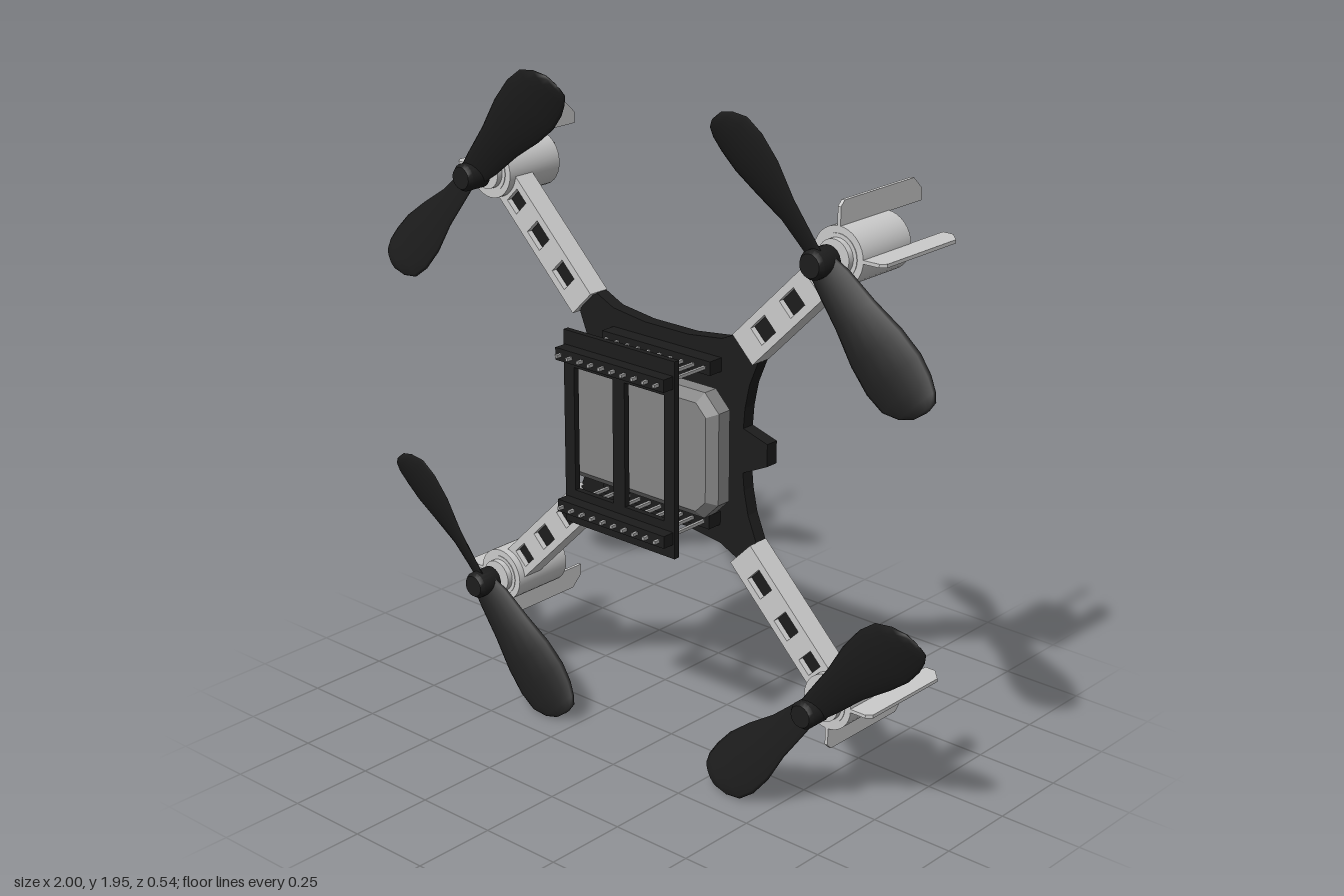
import * as THREE from 'three';
import { toCreasedNormals } from 'three/addons/utils/BufferGeometryUtils.js';

const mat = (color) => new THREE.MeshStandardMaterial({ color });
const black = mat(0x1c1c1c);
const grey = mat(0xcccccc);
const batteryGrey = mat(0x858585);
const pinGrey = mat(0xaaaaaa);

function add(parent, name, geometry, material, x = 0, y = 0, z = 0) {
  const mesh = new THREE.Mesh(geometry, material);
  mesh.name = name;
  mesh.position.set(x, y, z);
  parent.add(mesh);
  return mesh;
}

const polygon = (points) => new THREE.Shape(points.map(([x, y]) => new THREE.Vector2(x, y)));

function rectHole(shape, x0, x1, y0, y1) {
  shape.holes.push(new THREE.Path([[x0, y0], [x0, y1], [x1, y1], [x1, y0]].map((p) => new THREE.Vector2(...p))));
}

// Flat plate between two heights on z
function plate(shape, z0, z1) {
  const g = new THREE.ExtrudeGeometry(shape, { depth: z1 - z0, bevelEnabled: false });
  return g.translate(0, 0, z0);
}

// Solid or hollow round part turned about z, from [radius, z] points
function turned(points, segments = 32) {
  const g = new THREE.LatheGeometry(points.map(([r, z]) => new THREE.Vector2(r, z)), segments);
  return toCreasedNormals(g.rotateX(Math.PI / 2), 0.6);
}

// Twisted, cambered blade along +x: [distance, low edge, high edge, low z, high z]
const stations = [
  [0.0, -0.035, 0.035, 0.13, 0.16],
  [0.06, -0.045, 0.045, 0.118, 0.163],
  [0.16, -0.055, 0.06, 0.112, 0.165],
  [0.26, -0.077, 0.085, 0.112, 0.165],
  [0.34, -0.088, 0.092, 0.118, 0.166],
  [0.4, -0.084, 0.082, 0.126, 0.166],
  [0.44, -0.074, 0.05, 0.135, 0.165],
  [0.463, -0.06, 0.015, 0.14, 0.16],
  [0.47, -0.035, -0.025, 0.149, 0.151],
];

function bladeGeometry(hand) {
  const n = 14, pos = [], index = [];
  stations.forEach(([u, v0, v1, z0, z1], i) => {
    const half = (v1 - v0) / 2;
    for (let j = 0; j < n; j++) {
      const a = (j / n) * Math.PI * 2, c = Math.cos(a), s = Math.sin(a);
      const v = (v0 + v1) / 2 + half * c;
      const z = (z0 + z1) / 2 + ((z1 - z0) / 2) * c + half * 0.1 * s * s + Math.min(0.007, half * 0.3) * s;
      pos.push(u, hand * v, z);
      if (i === stations.length - 1) continue;
      const A = i * n + j, B = i * n + ((j + 1) % n), C = A + n, D = B + n;
      if (hand > 0) index.push(A, B, C, B, D, C);
      else index.push(A, C, B, B, C, D);
    }
  });
  const g = new THREE.BufferGeometry();
  g.setAttribute('position', new THREE.Float32BufferAttribute(pos, 3));
  g.setIndex(index);
  g.computeVertexNormals();
  return g;
}

function createPropeller(hand) {
  const prop = new THREE.Group();
  prop.name = 'propeller';
  const blade = bladeGeometry(hand);
  for (const turn of [0, Math.PI]) add(prop, 'propellerBlade', blade, black).rotation.z = turn;
  add(prop, 'propellerHub', turned([[0, 0.11], [0.04, 0.11], [0.04, 0.175], [0.032, 0.187], [0, 0.187]], 20), black);
  return prop;
}

// Motor holder with two fins and the motor inside it
function createMotor() {
  const motor = new THREE.Group();
  motor.name = 'motor';
  add(motor, 'motorHolder', turned([[0.06, -0.13], [0.08, -0.13], [0.08, 0.07], [0.06, 0.07], [0.06, -0.13]]), grey);
  add(motor, 'motorCan', turned([[0, -0.118], [0.061, -0.118], [0.061, 0.072], [0.05, 0.072], [0.05, 0.09], [0, 0.09]]), grey);
  add(motor, 'motorShaft', turned([[0, 0.08], [0.01, 0.08], [0.01, 0.13], [0, 0.13]], 12), grey);
  const fin = plate(polygon([[0.077, -0.272], [0.11, -0.272], [0.145, -0.235], [0.145, 0.055], [0.13, 0.07], [0.077, 0.07]]), -0.005, 0.005);
  fin.rotateX(Math.PI / 2);
  for (const s of [-1, 1]) add(motor, 'landingFin', fin, grey).rotation.z = (s * Math.PI) / 4;
  return motor;
}

// Arm along +x: windowed channel, motor and propeller
function createArm(hand) {
  const arm = new THREE.Group();
  arm.name = 'arm';
  const top = polygon([[0.42, -0.05], [0.83, -0.05], [0.83, 0.05], [0.42, 0.05]]);
  for (const [d, h] of [[0.52, 0.033], [0.656, 0.033], [0.775, 0.025]]) rectHole(top, d - h, d + h, -0.028, 0.028);
  add(arm, 'armCover', plate(top, 0.03, 0.048), grey);
  for (const s of [-1, 1]) {
    add(arm, 'armSideWall', new THREE.BoxGeometry(0.41, 0.01, 0.066), grey, 0.625, s * 0.045, 0.013);
  }
  const motor = createMotor();
  motor.position.x = 0.89;
  arm.add(motor);
  const prop = createPropeller(hand);
  prop.position.x = 0.89;
  prop.rotation.z = Math.PI / 2;
  arm.add(prop);
  return arm;
}

export function createModel() {
  const model = new THREE.Group();
  model.name = 'quadcopter';
  const body = new THREE.Group();
  body.name = 'airframe';
  body.position.y = 0.98;
  model.add(body);

  // Circuit board whose corners run out beneath the arms
  const quarter = [[0.285, 0.12], [0.3, 0.19], [0.335, 0.275], [0.612, 0.555], [0.555, 0.612], [0.275, 0.335], [0.2, 0.3], [0.08, 0.285]];
  const flip = (sx, sy) => quarter.map(([x, y]) => [sx * x, sy * y]);
  const outline = [
    ...flip(1, 1), ...flip(-1, 1).reverse(),
    [-0.315, 0.09], [-0.315, -0.09],
    ...flip(-1, -1), ...flip(1, -1).reverse(),
    [0.28, -0.07], [0.365, -0.03], [0.365, 0.035], [0.28, 0.06],
  ];
  add(body, 'mainBoard', plate(polygon(outline), -0.02, 0.02), black);

  // Battery with chamfered corners and edges
  const b = 0.025, w = 0.285 - b, h = 0.182 - b, c = 0.035;
  const pack = new THREE.ExtrudeGeometry(
    polygon([[w, -h + c], [w, h - c], [w - c, h], [c - w, h], [-w, h - c], [-w, c - h], [c - w, -h], [w - c, -h]]),
    { depth: 0.095 - 2 * b, bevelEnabled: true, bevelSize: b, bevelThickness: b, bevelSegments: 1 });
  add(body, 'battery', pack, batteryGrey, 0, 0, 0.058 + b);

  // Open frame board over the battery
  const frame = polygon([[-0.205, -0.285], [0.205, -0.285], [0.205, 0.285], [-0.205, 0.285]]);
  rectHole(frame, -0.167, -0.022, -0.182, 0.182);
  rectHole(frame, 0.022, 0.167, -0.182, 0.182);
  add(body, 'batteryHolderBoard', plate(frame, 0.198, 0.216), black);

  // Pin headers joining the two boards
  const pin = new THREE.BoxGeometry(0.009, 0.009, 0.36);
  for (const s of [-1, 1]) {
    const y = s * 0.225;
    add(body, 'lowerHeader', new THREE.BoxGeometry(0.4, 0.04, 0.05), black, 0, y, 0.043);
    add(body, 'upperHeader', new THREE.BoxGeometry(0.4, 0.036, 0.04), black, 0, y, 0.234);
    add(body, 'headerBase', new THREE.BoxGeometry(0.4, 0.036, 0.018), pinGrey, 0, y, -0.028);
    for (let i = 0; i < 10; i++) add(body, 'headerPin', pin, pinGrey, -0.18 + i * 0.04, y, 0.092);
  }

  // Four arms; neighbouring propellers turn opposite ways
  for (let k = 0; k < 4; k++) {
    const arm = createArm(k % 2 ? 1 : -1);
    arm.rotation.z = Math.PI / 4 + (k * Math.PI) / 2;
    body.add(arm);
  }
  return model;
}
